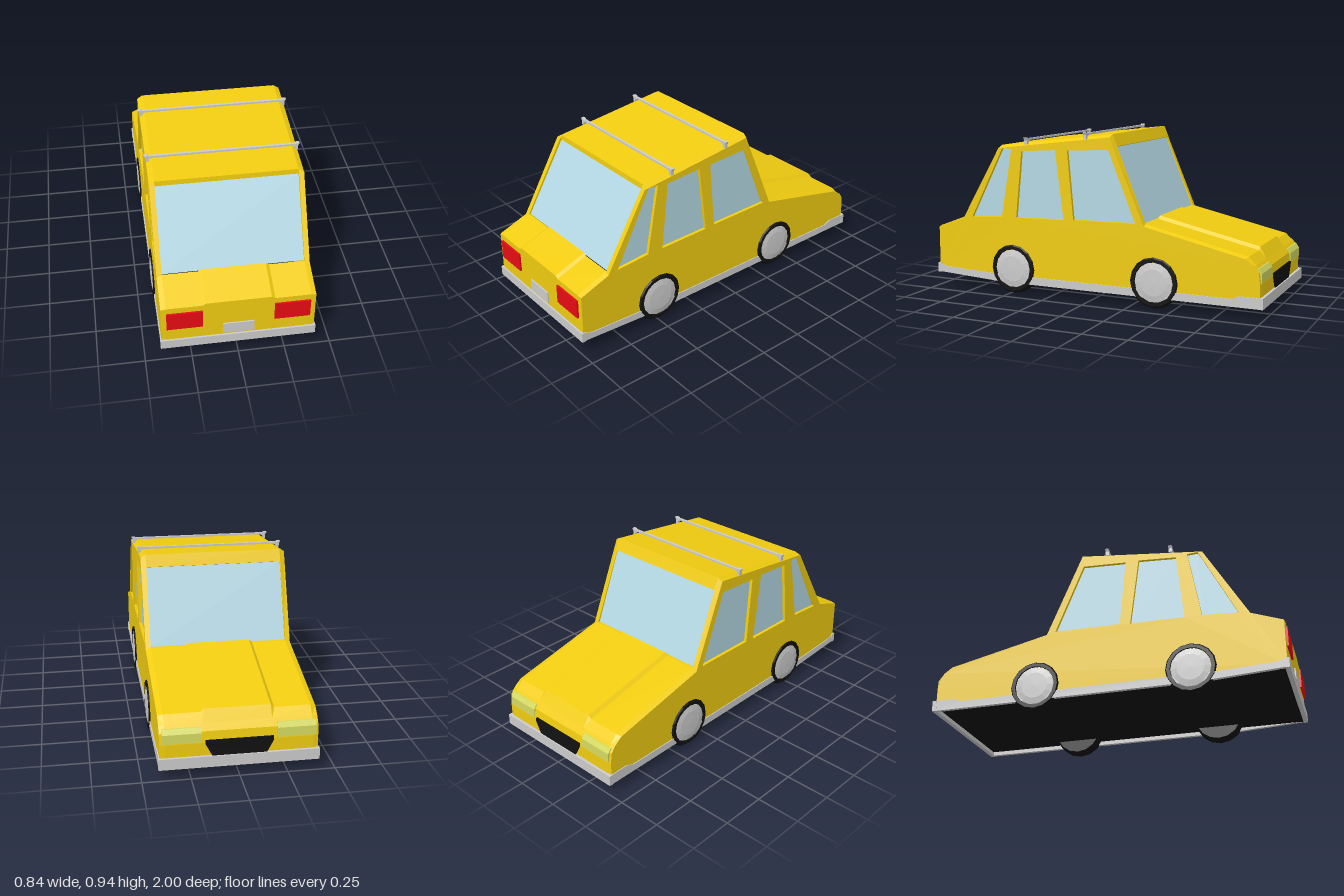
import * as THREE from 'three';

const mat = (color, side = THREE.FrontSide) =>
  new THREE.MeshStandardMaterial({ color, side, flatShading: true });

const W = 0.408; // outer half width
const I = 0.38;  // half width between the side panels

// Profiles run [z, y] over the car from tail to nose
const EDGE = [[0.988, 0.1], [0.988, 0.355], [0.815, 0.42], [0.57, 0.838], [-0.128, 0.921],
  [-0.33, 0.447], [-0.9, 0.318], [-0.945, 0.285], [-0.972, 0.25], [-0.98, 0.19], [-0.98, 0.1]];
const INNER = [[0.99, 0.1], [0.99, 0.36], [0.81, 0.428], [0.56, 0.855], [-0.135, 0.937],
  [-0.33, 0.458], [-0.91, 0.327], [-0.95, 0.285], [-0.976, 0.25], [-0.985, 0.19], [-0.985, 0.1]];
const REAR = [[0.99, 0.1], [0.99, 0.36], [0.805, 0.428]];
const REAR_GLASS = [[0.8, 0.427], [0.562, 0.826]];
const ROOF = [[0.562, 0.826], [0.56, 0.855], [-0.135, 0.937], [-0.162, 0.872], [-0.143, 0.865]];
const WINDSHIELD = [[-0.147, 0.868], [-0.315, 0.457]];
const NOSE = [[-0.315, 0.457], [-0.33, 0.457], [-0.91, 0.327], [-0.95, 0.285], [-0.976, 0.25],
  [-0.985, 0.19], [-0.985, 0.1]];
const SIDE_WINDOWS = [
  [[0.755, 0.43], [0.555, 0.445], [0.485, 0.835], [0.545, 0.838]],
  [[0.46, 0.445], [0.155, 0.45], [0.205, 0.84], [0.42, 0.825]],
  [[0.095, 0.455], [-0.28, 0.46], [-0.12, 0.853], [0.13, 0.84]],
];

// Surface through columns of [x, profile]
function loft(columns) {
  const pos = [];
  for (let c = 0; c < columns.length - 1; c++) {
    const [xa, a] = columns[c], [xb, b] = columns[c + 1];
    for (let i = 0; i < a.length - 1; i++) {
      const p = [xa, a[i][1], a[i][0]], q = [xb, b[i][1], b[i][0]];
      const r = [xb, b[i + 1][1], b[i + 1][0]], s = [xa, a[i + 1][1], a[i + 1][0]];
      pos.push(...p, ...q, ...r, ...p, ...r, ...s);
    }
  }
  const g = new THREE.BufferGeometry();
  g.setAttribute('position', new THREE.Float32BufferAttribute(pos, 3));
  g.computeVertexNormals();
  return g;
}

const band = (profile, w = I) => loft([[-w, profile], [w, profile]]);

// Panel with a raised centre on the listed profile rows
function raisedPanel(profile, rows, height) {
  const up = profile.map(([z, y], i) => [z, rows.includes(i) ? y + height : y]);
  return loft([[-I, profile], [-0.19, profile], [-0.172, up], [0.172, up], [0.19, profile], [I, profile]]);
}

const shapeOf = (pts) => new THREE.Shape(pts.map(([a, b]) => new THREE.Vector2(a, b)));

// Extrudes a [z, y] outline across x, from x0 to x1
function sideExtrude(shape, x0, x1) {
  const g = new THREE.ExtrudeGeometry(shape, { depth: x1 - x0, bevelEnabled: false });
  return g.rotateY(-Math.PI / 2).translate(x1, 0, 0);
}

export function createModel() {
  const car = new THREE.Group();
  car.name = 'car';
  const paint = mat(0xf0cc10, THREE.DoubleSide);
  const glass = mat(0xb4d8e4, THREE.DoubleSide);
  const grey = mat(0xcccccc);
  const black = mat(0x111111);
  const red = mat(0xe80c14);
  const lamp = mat(0xd4d860);

  const add = (name, geometry, material, parent = car) => {
    const m = new THREE.Mesh(geometry, material);
    m.name = name;
    parent.add(m);
    return m;
  };
  const box = (name, w, h, d, x, y, z, material) =>
    add(name, new THREE.BoxGeometry(w, h, d).translate(x, y, z), material);

  // Body top: trunk, roof and hood with the glass between them
  add('trunk', raisedPanel(REAR, [1, 2], 0.012), paint);
  add('rearWindow', band(REAR_GLASS), glass);
  add('roof', band(ROOF), paint);
  add('windshield', band(WINDSHIELD), glass);
  add('hood', raisedPanel(NOSE, [1, 2], 0.017), paint);

  // Side panels with window openings, bevelled edges and recessed panes
  for (const s of [1, -1]) {
    const name = s > 0 ? 'left' : 'right';
    const panel = shapeOf(EDGE);
    SIDE_WINDOWS.forEach((w) => panel.holes.push(shapeOf(w)));
    const [x0, x1] = s > 0 ? [I, W] : [-W, -I];
    add(name + 'SidePanel', sideExtrude(panel, x0, x1), paint);
    add(name + 'EdgeBevel', loft([[s * W, EDGE], [s * I, INNER]]), paint);
    SIDE_WINDOWS.forEach((w, i) => {
      const pane = new THREE.ShapeGeometry(shapeOf(w)).rotateY(-Math.PI / 2).translate(s * 0.39, 0, 0);
      add(name + 'Window' + (i + 1), pane, glass);
    });

    // Grey sill along the bottom edge
    const sill = shapeOf([[0.995, 0.085], [0.995, 0.135], [0.93, 0.118], [0.63, 0.105], [-0.83, 0.102],
      [-0.87, 0.12], [-0.995, 0.12], [-0.995, 0.06], [0.55, 0.06]]);
    add(name + 'Sill', s > 0 ? sideExtrude(sill, 0.392, 0.413) : sideExtrude(sill, -0.413, -0.392), grey);
  }

  // Floor and bumpers
  box('floor', 0.79, 0.02, 1.97, 0, 0.092, 0, black);
  box('rearBumper', 0.83, 0.055, 0.025, 0, 0.109, 0.9875, grey);
  box('frontBumper', 0.83, 0.06, 0.025, 0, 0.09, -0.9875, grey);

  // Tail lights, plate and headlights
  for (const s of [1, -1]) {
    box('tailLight', 0.19, 0.108, 0.02, s * 0.285, 0.271, 0.99, red);
    const headlight = shapeOf([[-0.95, 0.195], [-0.987, 0.195], [-0.985, 0.245], [-0.968, 0.27], [-0.95, 0.27]]);
    add('headlight', sideExtrude(headlight, s * 0.295 - 0.1, s * 0.295 + 0.1), lamp);
  }
  box('numberPlate', 0.168, 0.067, 0.015, 0, 0.183, 0.99, grey);

  // Grille, narrower toward the bottom
  const grille = shapeOf([[-0.175, 0.205], [-0.175, 0.185], [-0.14, 0.118], [0.14, 0.118], [0.175, 0.185], [0.175, 0.205]]);
  add('grille', new THREE.ExtrudeGeometry(grille, { depth: 0.025, bevelEnabled: false }).translate(0, 0, -0.993), black);

  // Wheels: turned tyre and domed hub cap, axis along x
  const v = (pts) => pts.map(([r, h]) => new THREE.Vector2(r, h));
  const tyre = new THREE.LatheGeometry(
    v([[0, 0], [0.135, 0], [0.145, 0.012], [0.145, 0.07], [0.132, 0.085], [0.113, 0.085], [0.11, 0.07], [0, 0.07]]), 16);
  const hub = new THREE.LatheGeometry(v([[0.113, 0.07], [0.11, 0.081], [0.075, 0.088], [0, 0.09]]), 14);
  for (const s of [1, -1]) {
    for (const z of [0.485, -0.39]) {
      const wheel = new THREE.Group();
      wheel.name = (z > 0 ? 'rear' : 'front') + (s > 0 ? 'Left' : 'Right') + 'Wheel';
      add('tyre', tyre, black, wheel);
      add('hubCap', hub, grey, wheel);
      wheel.rotation.z = -s * Math.PI / 2;
      wheel.position.set(s * 0.331, 0.145, z);
      car.add(wheel);
    }
  }

  // Roof rack bars with clamped feet
  for (const [z, y] of [[0.39, 0.893], [0.02, 0.934]]) {
    box('rackBar', 0.8, 0.011, 0.014, 0, y, z, grey);
    for (const s of [1, -1]) {
      const foot = shapeOf([[0.38, -0.006], [0.392, -0.012], [0.395, -0.028], [0.41, -0.028],
        [0.41, -0.005], [0.418, 0.01], [0.4, 0.01]].map(([a, b]) => [s * a, b]));
      add('rackFoot', new THREE.ExtrudeGeometry(foot, { depth: 0.02, bevelEnabled: false })
        .translate(0, y, z - 0.01), grey);
    }
  }
  return car;
}
